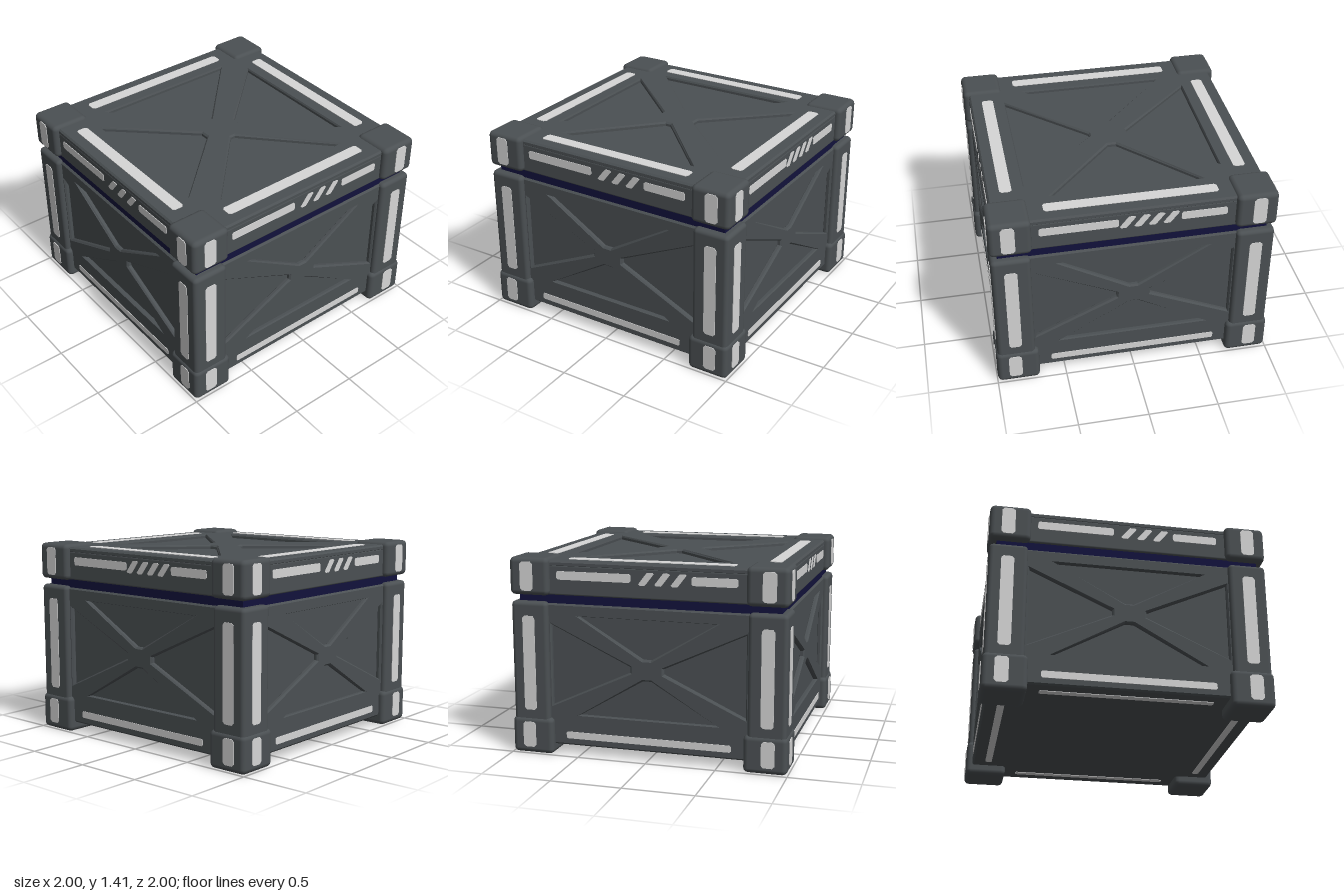
import * as THREE from 'three';
import { RoundedBoxGeometry } from 'three/addons/geometries/RoundedBoxGeometry.js';

const material = (name, color) => {
  const m = new THREE.MeshStandardMaterial({ color });
  m.name = name;
  return m;
};

export function createModel() {
  const crate = new THREE.Group();
  crate.name = 'crate';
  const grey = material('dark grey shell', 0x4b5053);
  const white = material('light grey markings', 0xd6d6d6);
  const navy = material('navy seal', 0x12123c);

  const add = (parent, name, geometry, mat, x = 0, y = 0, z = 0) => {
    const mesh = new THREE.Mesh(geometry, mat);
    mesh.name = name;
    mesh.position.set(x, y, z);
    parent.add(mesh);
    return mesh;
  };

  // Thin marking centred on x, y; skew leans it to the right
  const stripe = (parent, name, x, y, z, w, h, skew = 0) => {
    const a = w / 2, b = h / 2, s = skew / 2;
    const c = Math.min(a, b) * 0.35; // clipped corners
    const shape = new THREE.Shape([
      [-a - s + c, -b], [a - s - c, -b], [a - s, -b + c], [a + s, b - c],
      [a + s - c, b], [-a + s + c, b], [-a + s, b - c], [-a - s, -b + c],
    ].map(p => new THREE.Vector2(...p)));
    const g = new THREE.ExtrudeGeometry(shape, { depth: 0.006, bevelEnabled: false });
    return add(parent, name, g, white, x, y, z - 0.002);
  };

  // Raised frame with a diagonal cross: a plate with four triangular openings
  const crossFrame = (w, h, cy, o) => {
    const pts = list => list.map(([x, y]) => new THREE.Vector2(x, y));
    const shape = new THREE.Shape(pts([
      [-w, -h], [w, -h], [w, h], [-w, h],
    ]));
    for (const s of [1, -1]) {
      shape.holes.push(new THREE.Path(pts([
        [-o.topHalf, s * o.y + cy], [o.topHalf, s * o.y + cy],
        [0.03, s * o.topApex + cy], [-0.03, s * o.topApex + cy],
      ])));
      shape.holes.push(new THREE.Path(pts([
        [s * o.x, -o.sideHalf + cy], [s * o.x, o.sideHalf + cy],
        [s * o.sideApex, 0.02 + cy], [s * o.sideApex, -0.02 + cy],
      ])));
    }
    const g = new THREE.ExtrudeGeometry(shape, {
      depth: 0.02, bevelThickness: 0.012, bevelSize: 0.012, bevelOffset: -0.012, bevelSegments: 1,
    });
    return g.translate(0, 0, -0.032); // outer face at z = 0
  };

  // Inner box, seal and lid slab
  add(crate, 'bodyCore', new THREE.BoxGeometry(1.83, 1.01, 1.83), grey, 0, 0.58, 0);
  add(crate, 'bodyFloor', new THREE.BoxGeometry(1.87, 0.1, 1.87), grey, 0, 0.12, 0);
  add(crate, 'seal', new THREE.BoxGeometry(1.87, 0.1, 1.87), navy, 0, 1.125, 0);
  add(crate, 'lidSlab', new RoundedBoxGeometry(1.9, 0.21, 1.9, 2, 0.012), grey, 0, 1.255, 0);

  // Lid top with its cross and border markings
  const top = new THREE.Group();
  top.name = 'lidTop';
  top.rotation.x = -Math.PI / 2;
  top.position.y = 1.39;
  crate.add(top);
  add(top, 'lidTopFrame', crossFrame(0.95, 0.95, 0,
    { x: 0.69, y: 0.69, topHalf: 0.53, topApex: 0.15, sideHalf: 0.54, sideApex: 0.14 }), grey);

  // Underside
  const under = new THREE.Group();
  under.name = 'underside';
  under.rotation.x = Math.PI / 2;
  under.position.y = 0.07;
  crate.add(under);
  for (const s of [1, -1]) {
    stripe(top, 'lidTopStripe', 0, s * 0.82, 0, 1.2, 0.085);
    stripe(top, 'lidTopStripe', s * 0.82, 0, 0, 0.085, 1.2);
    stripe(under, 'undersideStripe', 0, s * 0.83, 0, 1.2, 0.05);
    stripe(under, 'undersideStripe', s * 0.83, 0, 0, 0.05, 1.2);
  }

  // Four sides: front, left, back, right
  ['front', 'left', 'back', 'right'].forEach((name, k) => {
    const side = new THREE.Group();
    side.name = name + 'Side';
    side.rotation.y = k * Math.PI / 2;
    crate.add(side);
    add(side, 'sideFrame', crossFrame(0.94, 0.51, 0.07, {
      x: 0.7, y: 0.355, topHalf: k % 2 ? 0.5 : 0.53, topApex: 0.075, sideHalf: 0.29, sideApex: 0.12,
    }), grey, 0, 0.58, 0.95);
    stripe(side, 'bottomRailStripe', 0, 0.145, 0.95, 1.2, 0.05);

    // Lid edge: two bars with leaning dashes between them
    stripe(side, 'lidBar', -0.38, 1.29, 0.95, 0.54, 0.06);
    stripe(side, 'lidBar', 0.48, 1.29, 0.95, 0.32, 0.06);
    const dashes = k === 2 ? [-0.05, 0.05, 0.15, 0.25] : [0, 0.115, 0.23];
    for (const x of dashes) stripe(side, 'lidDash', x, 1.29, 0.95, 0.055, 0.09, 0.055);

    // Markings on the corner parts
    for (const s of [1, -1]) {
      stripe(side, 'footStripe', s * 0.865, 0.14, 0.996, 0.095, 0.185);
      stripe(side, 'postStripe', s * 0.855, 0.66, 0.985, 0.09, 0.68);
      stripe(side, 'capStripe', s * 0.86, 1.28, 0.99, 0.095, 0.205);
    }
  });

  // Corner feet, posts and lid caps
  const corner = (name, inner, outer, y0, y1, r) => {
    const w = outer - inner, c = (outer + inner) / 2;
    for (const x of [1, -1]) for (const z of [1, -1]) {
      add(crate, name, new RoundedBoxGeometry(w, y1 - y0, w, 2, r), grey, x * c, (y0 + y1) / 2, z * c);
    }
  };
  corner('foot', 0.69, 0.996, 0, 0.265, 0.035);
  corner('post', 0.715, 0.985, 0.2, 1.1, 0.03);
  corner('lidCap', 0.7, 0.99, 1.145, 1.41, 0.035);
  return crate;
}
